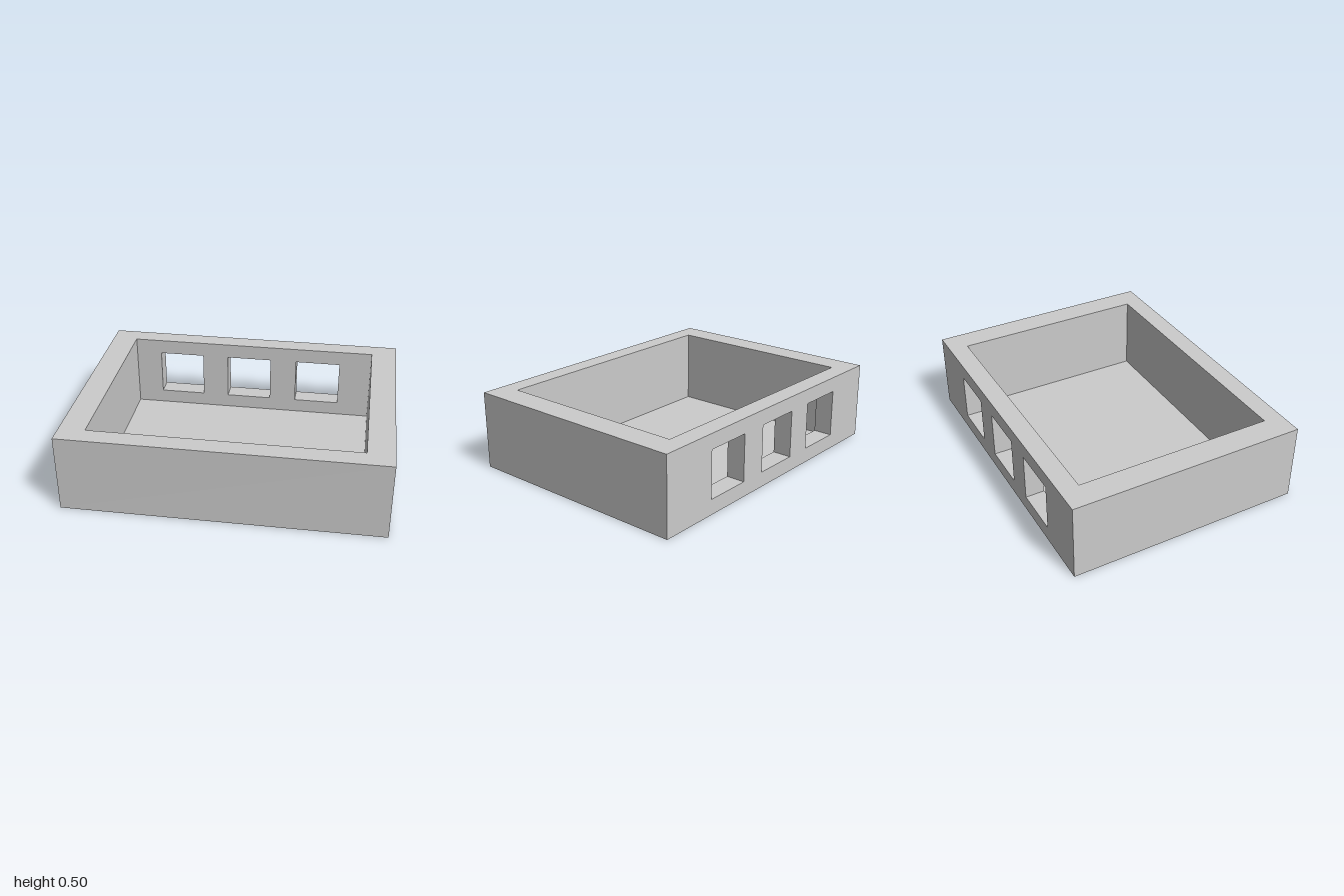
import * as THREE from 'three';
import { mergeGeometries } from 'three/addons/utils/BufferGeometryUtils.js';

const W = 2, H = 0.5, D = 1.5;             // outer size
const IW = 1.67, ID = 1.255, FLOOR = 0.005; // cavity size and floor thickness
const WIN = 0.305, WIN_Y = 0.25;           // square windows
const WIN_X = [-0.506, -0.022, 0.465];
const Q = Math.PI / 2;

const rect = (cx, cy, w, h, Type = THREE.Shape) => new Type([
  new THREE.Vector2(cx - w / 2, cy - h / 2), new THREE.Vector2(cx + w / 2, cy - h / 2),
  new THREE.Vector2(cx + w / 2, cy + h / 2), new THREE.Vector2(cx - w / 2, cy + h / 2),
]);

// A flat face, turned about x or y and then moved into place
function face(shape, [x, y, z], rx = 0, ry = 0) {
  return new THREE.ShapeGeometry(shape).rotateX(rx).rotateY(ry).translate(x, y, z);
}

// Wall face pierced by the windows; mirror = -1 for the face seen from behind
function pierced(w, y0, mirror) {
  const shape = rect(0, (y0 + H) / 2, w, H - y0);
  for (const x of WIN_X) shape.holes.push(rect(x * mirror, WIN_Y, WIN, WIN, THREE.Path));
  return shape;
}

export function createModel() {
  const group = new THREE.Group();
  const material = new THREE.MeshStandardMaterial({ color: 0xcccccc, flatShading: true });
  const add = (name, faces) => {
    const mesh = new THREE.Mesh(mergeGeometries(faces), material);
    mesh.name = name;
    group.add(mesh);
  };
  const mid = (H + FLOOR) / 2, inH = H - FLOOR;

  // Outside of the box, with the rim around the cavity
  const rim = rect(0, 0, W, D);
  rim.holes.push(rect(0, 0, IW, ID, THREE.Path));
  add('outerShell', [
    face(rect(0, 0, W, H), [0, H / 2, D / 2]),
    face(rect(0, 0, D, H), [W / 2, H / 2, 0], 0, Q),
    face(rect(0, 0, D, H), [-W / 2, H / 2, 0], 0, -Q),
    face(pierced(W, 0, -1), [0, 0, -D / 2], 0, Math.PI),
    face(rim, [0, H, 0], -Q),
    face(rect(0, 0, W, D), [0, 0, 0], Q),
  ]);

  // Inside of the cavity
  add('cavity', [
    face(rect(0, 0, IW, inH), [0, mid, ID / 2], 0, Math.PI),
    face(rect(0, 0, ID, inH), [IW / 2, mid, 0], 0, -Q),
    face(rect(0, 0, ID, inH), [-IW / 2, mid, 0], 0, Q),
    face(pierced(IW, FLOOR, 1), [0, 0, -ID / 2]),
    face(rect(0, 0, IW, ID), [0, FLOOR, 0], -Q),
  ]);

  // Reveals of the three windows through the back wall
  const t = (D - ID) / 2, z = -(D + ID) / 4, h = WIN / 2;
  WIN_X.forEach((x, i) => add(`windowReveal${i + 1}`, [
    face(rect(0, 0, WIN, t), [x, WIN_Y - h, z], -Q),
    face(rect(0, 0, WIN, t), [x, WIN_Y + h, z], Q),
    face(rect(0, 0, t, WIN), [x - h, WIN_Y, z], 0, Q),
    face(rect(0, 0, t, WIN), [x + h, WIN_Y, z], 0, -Q),
  ]));
  return group;
}
